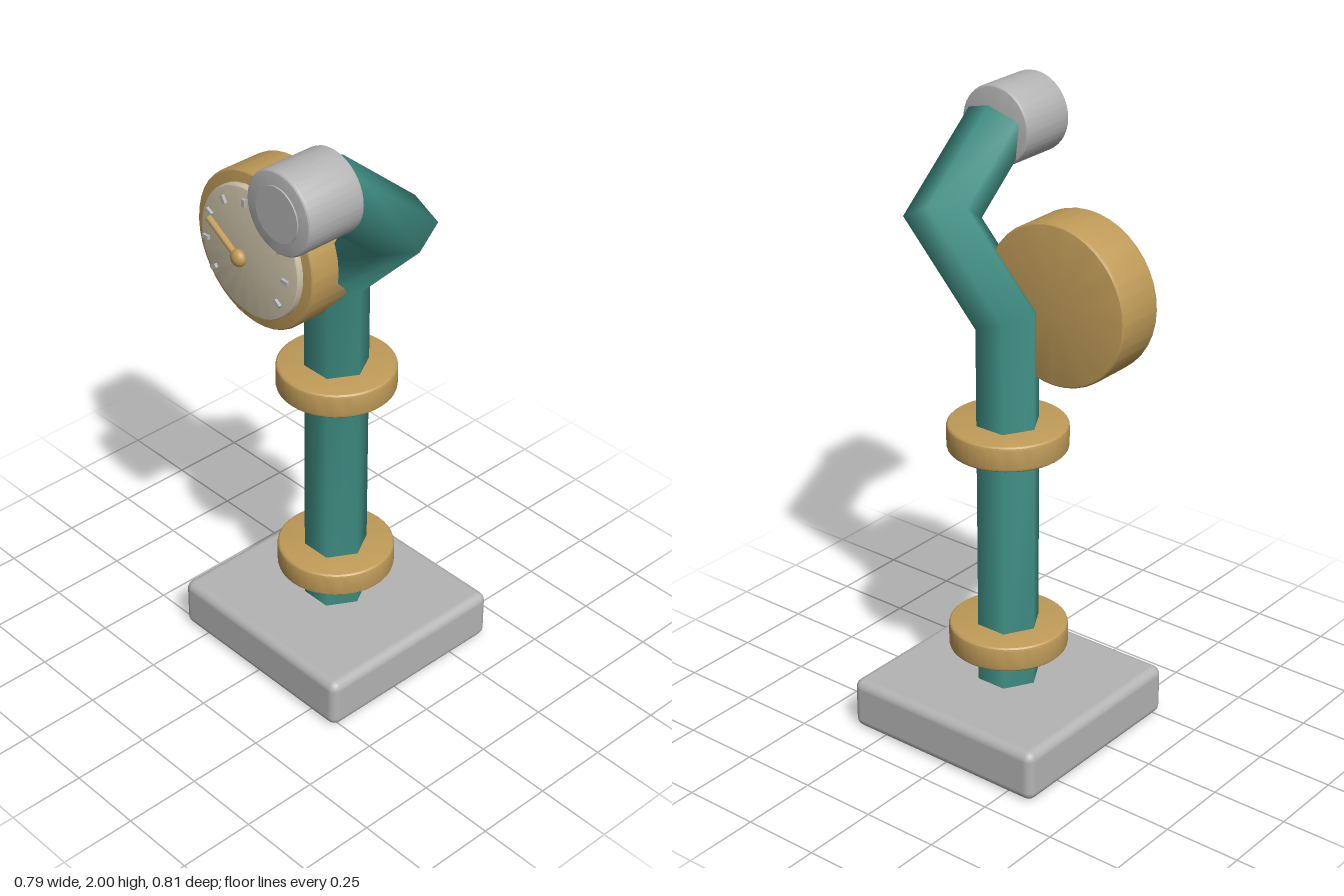
import * as THREE from 'three';
import { toCreasedNormals } from 'three/addons/utils/BufferGeometryUtils.js';
import { RoundedBoxGeometry } from 'three/addons/geometries/RoundedBoxGeometry.js';

const material = (name, color) => {
  const m = new THREE.MeshStandardMaterial({ color });
  m.name = name;
  return m;
};

// Disc or drum with rounded rims, axis along y, centred on the origin
function drum(radius, height, bevel) {
  const h = height / 2, profile = [new THREE.Vector2(0, -h)];
  for (const side of [-1, 1]) {
    for (let i = 0; i <= 3; i++) {
      const a = (side < 0 ? i - 3 : i) * Math.PI / 6;
      profile.push(new THREE.Vector2(radius - bevel + bevel * Math.cos(a), side * (h - bevel) + bevel * Math.sin(a)));
    }
  }
  profile.push(new THREE.Vector2(0, h));
  return toCreasedNormals(new THREE.LatheGeometry(profile, 40), 0.3);
}

// Six-sided pipe swept along straight runs with mitred joints and closed ends
function mitredPipe(path, radius, sides) {
  const positions = [], index = [];
  let ring = [];
  for (let j = 0; j < sides; j++) {
    const a = j / sides * Math.PI * 2;
    ring.push(new THREE.Vector3(Math.cos(a) * radius, 0, -Math.sin(a) * radius).add(path[0]));
  }
  const direction = (i) => path[i + 1].clone().sub(path[i]).normalize();
  const last = path.length - 1;
  const addRing = () => ring.forEach((p) => positions.push(p.x, p.y, p.z));
  addRing();
  for (let i = 1; i <= last; i++) {
    const along = direction(i - 1);
    const normal = along.clone();
    if (i < last) normal.add(direction(i)).normalize();
    // Slide every corner along the run until it meets the joint plane
    ring = ring.map((p) => p.clone().addScaledVector(along, path[i].clone().sub(p).dot(normal) / along.dot(normal)));
    addRing();
    for (let j = 0; j < sides; j++) {
      const a = (i - 1) * sides + j, b = (i - 1) * sides + (j + 1) % sides;
      index.push(a, b, b + sides, a, b + sides, a + sides);
    }
  }
  // End caps use their own corners so the rims stay sharp
  const capStart = positions.length / 3;
  positions.push(...positions.slice(0, sides * 3));
  addRing();
  for (let j = 1; j < sides - 1; j++) {
    index.push(capStart, capStart + j + 1, capStart + j);
    index.push(capStart + sides, capStart + sides + j, capStart + sides + j + 1);
  }
  const geometry = new THREE.BufferGeometry();
  geometry.setAttribute('position', new THREE.Float32BufferAttribute(positions, 3));
  geometry.setIndex(index);
  geometry.computeVertexNormals();
  return geometry;
}

export function createModel() {
  const model = new THREE.Group();
  model.name = 'gaugePipe';
  const grey = material('grey metal', 0xb4b4b4);
  const brass = material('brass', 0xbf9b58);
  const teal = material('teal paint', 0x3f8f84);
  const cream = material('cream dial', 0xd0c5aa);

  const add = (name, geometry, mat, x, y, z, parent = model) => {
    const mesh = new THREE.Mesh(geometry, mat);
    mesh.name = name;
    mesh.position.set(x, y, z);
    parent.add(mesh);
    return mesh;
  };
  const facing = (geometry) => geometry.rotateX(Math.PI / 2);

  // Base block, pipe and collars
  const px = 0.01, pz = -0.063;
  add('base', new RoundedBoxGeometry(0.72, 0.17, 0.685, 3, 0.03), grey, px, 0.088, pz);
  const path = [[px, 0.08, pz], [px, 1.395, pz], [0.265, 1.655, -0.055], [0.266, 1.877, 0.21]];
  add('pipe', mitredPipe(path.map((p) => new THREE.Vector3(...p)), 0.102, 6), teal, 0, 0, 0);
  for (const y of [0.328, 1.017]) add('collar', drum(0.188, 0.085, 0.012), brass, px, y, pz);

  // Outlet cap on the pipe end
  add('outletCap', facing(drum(0.128, 0.205, 0.01)), grey, 0.267, 1.873, 0.2975);
  add('outletDisc', facing(new THREE.CylinderGeometry(0.084, 0.084, 0.008, 40)), grey, 0.267, 1.873, 0.401);

  // Dial gauge
  const gauge = new THREE.Group();
  gauge.name = 'gauge';
  gauge.position.set(-0.143, 1.465, 0);
  model.add(gauge);
  add('gaugeBody', facing(drum(0.256, 0.17, 0.01)), brass, 0, 0, 0.046, gauge);
  add('dialFace', facing(drum(0.216, 0.03, 0.008)), cream, 0, 0, 0.137, gauge);

  // Nine tick marks spread evenly around the dial
  for (let i = 0; i < 9; i++) {
    const a = THREE.MathUtils.degToRad(-36 + i * 31.5);
    const tick = add('tick', new THREE.BoxGeometry(0.026, 0.013, 0.01), grey,
      Math.cos(a) * 0.176, Math.sin(a) * 0.176, 0.167, gauge);
    tick.rotation.z = a;
  }

  // Needle and its hub
  const angle = THREE.MathUtils.degToRad(148);
  const needle = add('needle', new THREE.CylinderGeometry(0.011, 0.011, 0.155, 8), brass,
    Math.cos(angle) * 0.0775, Math.sin(angle) * 0.0775, 0.192, gauge);
  needle.rotation.z = angle - Math.PI / 2;
  add('needleHub', new THREE.SphereGeometry(0.028, 20, 12), brass, 0, 0, 0.192, gauge).scale.z = 0.75;

  return model;
}
